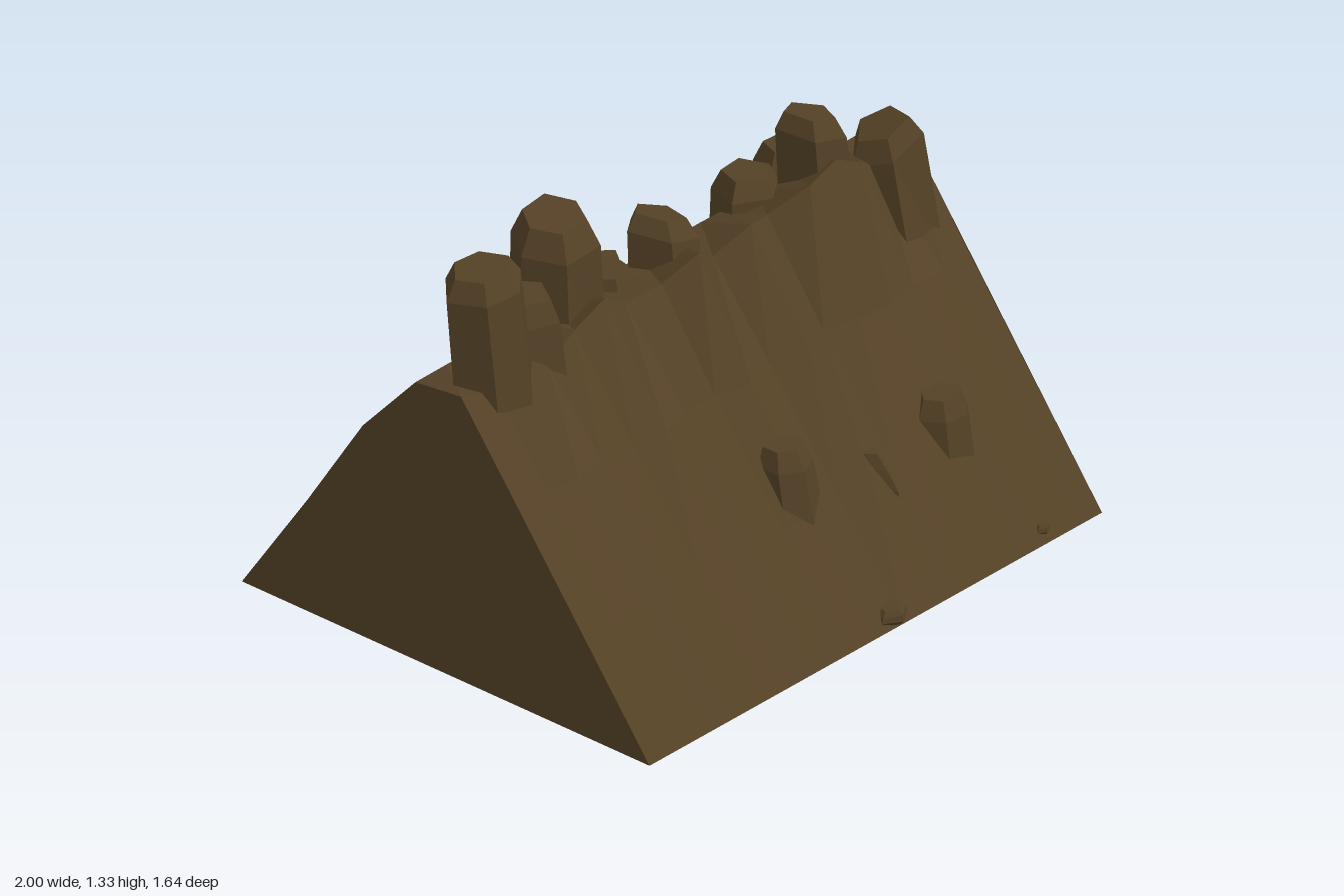
import * as THREE from 'three';

const earth = new THREE.MeshStandardMaterial({ color: 0x54412a, flatShading: true, side: THREE.DoubleSide });
earth.name = 'earthBrown';
earth.color.set(0x544126);

// Faceted boulder: tapered prism with bevelled ends, leaning toward the top.
function rock(name, { x, z, y0, y1, rx, rz, sides = 5, yaw = 0, lean = [0, 0], tilt = [0, 0], taper = 0.9, bevel = 0.06 }) {
  const h = y1 - y0;
  const b = Math.min(bevel, h * 0.3);
  const profile = [[0, 0], [0.7, 0], [1, b], [taper, h - b], [taper * 0.72, h], [0, h]]
    .map(([r, y]) => new THREE.Vector2(r, y));
  const geo = new THREE.LatheGeometry(profile, sides, yaw);
  const p = geo.attributes.position;
  for (let i = 0; i < p.count; i++) {
    const k = Math.floor(i / profile.length) % sides;
    const wobble = 1 + 0.07 * Math.sin(k * 2.4 + x * 9);
    const px = p.getX(i) * rx * wobble, pz = p.getZ(i) * rz * wobble, t = p.getY(i) / h;
    const slant = t > 0.5 ? px * tilt[0] + pz * tilt[1] : 0;
    p.setXYZ(i, x + px + lean[0] * (t - 1), y0 + p.getY(i) + slant, z + pz + lean[1] * (t - 1));
  }
  const mesh = new THREE.Mesh(geo, earth);
  mesh.name = name;
  return mesh;
}

// Ridge hill: one profile per column, open underneath, with closed ends.
function hill() {
  const crestY = [0.98, 0.96, 0.97, 0.93, 0.99, 1.05, 0.97, 0.99, 1.06, 0.97, 1.04, 1.0, 1.07, 1.1, 1.03, 0.95, 0.99];
  const crestZ = [0.05, 0.08, 0.1, 0.06, 0.05, 0.06, 0.03, 0.06, 0.1, 0.04, 0.08, 0.03, 0.09, 0.08, 0.07, 0.03, 0.05];
  const bulge = [0, 0.01, 0.02, 0, 0.01, 0.03, -0.01, 0, 0.03, -0.01, 0.04, -0.02, 0.01, 0.02, 0, 0.01, 0];
  const n = crestY.length - 1;
  const columns = crestY.map((cy, i) => {
    const x = -1 + (2 * i) / n, d = bulge[i], w = 0.012 * Math.sin(i * 2.1);
    return [
      [0.8, 0.01], [0.545 + d * 0.5, 0.34], [0.275 + d, 0.69], [crestZ[i], cy],
      [-0.13 + w, 0.96 + w], [-0.34 + w, 0.73], [-0.56 + w, 0.39], [-0.82, 0.01],
    ].map(([z, y]) => [x, y, z]);
  });
  const v = [];
  const tri = (a, b, c) => v.push(...a, ...b, ...c);
  for (let i = 0; i < n; i++) {
    const L = columns[i], R = columns[i + 1];
    for (let j = 0; j < L.length - 1; j++) {
      tri(L[j], R[j], R[j + 1]);
      tri(L[j], R[j + 1], L[j + 1]);
    }
  }
  // End walls
  const A = columns[0], B = columns[n];
  for (let j = 1; j < A.length - 1; j++) {
    tri(A[0], A[j], A[j + 1]);
    tri(B[0], B[j + 1], B[j]);
  }
  const geo = new THREE.BufferGeometry();
  geo.setAttribute('position', new THREE.Float32BufferAttribute(v, 3));
  geo.computeVertexNormals();
  const mesh = new THREE.Mesh(geo, earth);
  mesh.name = 'ridgeHill';
  return mesh;
}

export function createModel() {
  const model = new THREE.Group();
  model.name = 'rockyRidge';
  model.add(hill());

  // Boulders along the crest
  const crest = [
    { x: -0.83, z: -0.02, y0: 0.5, y1: 1.32, rx: 0.14, rz: 0.14, sides: 6, yaw: 0.3, lean: [-0.01, -0.09], tilt: [0.1, 0] },
    { x: -0.39, z: -0.13, y0: 0.6, y1: 1.27, rx: 0.16, rz: 0.15, sides: 6, yaw: 0.5, lean: [0, -0.02], tilt: [0.05, -0.1], bevel: 0.08 },
    { x: -0.59, z: -0.07, y0: 0.72, y1: 1.11, rx: 0.11, rz: 0.13, yaw: 0.2, lean: [0.04, -0.08], tilt: [0.15, 0] },
    { x: -0.19, z: -0.1, y0: 0.78, y1: 1.01, rx: 0.1, rz: 0.09, yaw: 0.9, tilt: [0.2, 0] },
    { x: -0.12, z: -0.16, y0: 0.8, y1: 1.0, rx: 0.06, rz: 0.06, yaw: 0.4 },
    { x: 0.03, z: -0.09, y0: 0.65, y1: 1.11, rx: 0.12, rz: 0.13, yaw: 0.7, lean: [0, -0.04], tilt: [-0.3, 0] },
    { x: 0.45, z: -0.12, y0: 0.6, y1: 1.06, rx: 0.13, rz: 0.12, yaw: 0.1, tilt: [-0.08, 0] },
    { x: 0.64, z: -0.04, y0: 0.6, y1: 1.21, rx: 0.12, rz: 0.13, yaw: 0.5, lean: [-0.03, -0.03], tilt: [-0.25, 0] },
    { x: 0.88, z: 0.03, y0: 0.64, y1: 1.09, rx: 0.11, rz: 0.13, yaw: 0.6, lean: [0.01, -0.1], tilt: [0.5, 0.2] },
  ];
  crest.forEach((c, i) => model.add(rock(`crestBoulder${i + 1}`, c)));

  // Small stones behind the crest
  const rear = [
    { x: -0.48, z: -0.25, y0: 0.85, y1: 0.97, rx: 0.09, rz: 0.07, taper: 0.8 },
    { x: 0.7, z: -0.18, y0: 0.8, y1: 1.03, rx: 0.12, rz: 0.09, taper: 0.95 },
    { x: 0.56, z: -0.22, y0: 0.86, y1: 0.97, rx: 0.07, rz: 0.08, taper: 0.8 },
    { x: -0.17, z: -0.2, y0: 0.88, y1: 0.97, rx: 0.05, rz: 0.05, taper: 0.7 },
  ];
  rear.forEach((c, i) => model.add(rock(`rearStone${i + 1}`, c)));

  // Stones poking out of the front slope
  const slope = [
    { x: -0.02, z: 0.445, y0: 0.22, y1: 0.55, rx: 0.095, rz: 0.09, sides: 6, lean: [0, -0.06] },
    { x: 0.62, z: 0.5, y0: 0.21, y1: 0.47, rx: 0.1, rz: 0.09, sides: 6, yaw: 0.4, lean: [0, -0.03] },
    { x: 0.3, z: 0.5, y0: 0.24, y1: 0.41, rx: 0.04, rz: 0.05, lean: [-0.04, -0.06] },
    { x: 0.1, z: 0.77, y0: 0.02, y1: 0.07, rx: 0.06, rz: 0.05, tilt: [0.1, 0] },
    { x: 0.77, z: 0.77, y0: 0.03, y1: 0.06, rx: 0.03, rz: 0.02 },
  ];
  slope.forEach((c, i) => model.add(rock(`slopeStone${i + 1}`, c)));

  // Buried columns and rubble visible through the open underside
  for (let i = 0; i < 12; i++) {
    const s = Math.sin(i * 2.7);
    model.add(rock(`buriedColumn${i + 1}`, {
      x: -0.86 + i * 0.156, z: 0.05 + 0.06 * s, y0: 0.1 + 0.08 * Math.cos(i * 1.9), y1: 0.8,
      rx: 0.1, rz: 0.1, sides: 4, yaw: 0.75 + 0.3 * s, taper: 1, bevel: 0.01,
    }));
  }
  for (let i = 0; i < 20; i++) {
    const s = Math.sin(i * 1.7), row = i % 2;
    model.add(rock(`buriedRubble${i + 1}`, {
      x: -0.87 + i * 0.0915, z: (row ? 0.42 : 0.2) + 0.05 * s, y0: i % 3 ? 0.04 + 0.03 * s : 0,
      y1: (row ? 0.24 : 0.42) + 0.03 * s, rx: 0.1, rz: 0.1, yaw: i,
    }));
  }
  return model;
}
